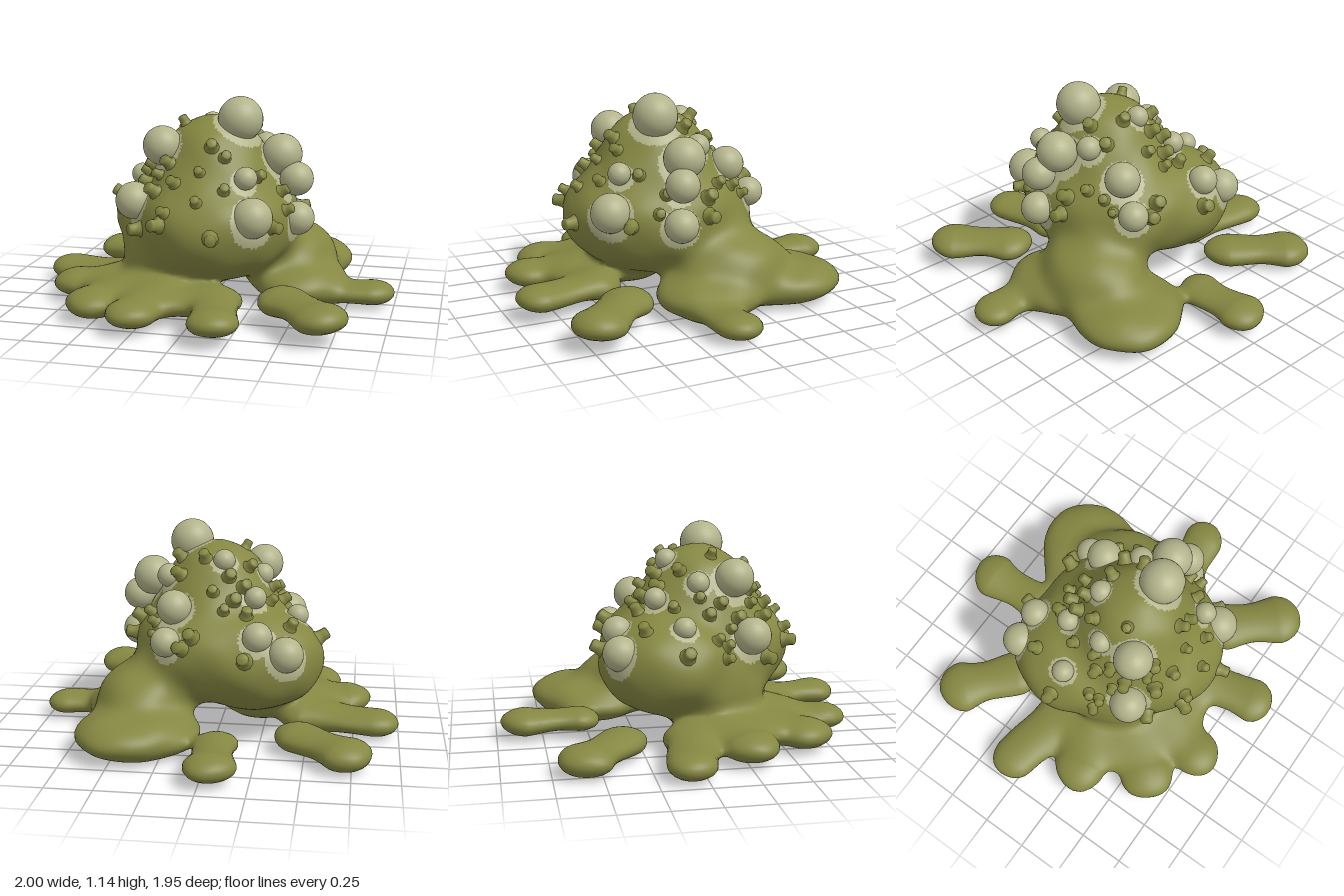
import * as THREE from 'three';

const olive = new THREE.MeshStandardMaterial({ color: 0x858742 });
olive.name = 'olive skin';
const pale = new THREE.MeshStandardMaterial({ color: 0xb3b48b });
pale.name = 'pale blister';

// Blisters: x, y, z, radius
const BLISTERS = [
  [0.18, 1.03, 0.18, 0.12], [0.39, 0.84, 0.11, 0.11], [0.48, 0.72, 0.16, 0.09], [0.49, 0.51, 0.17, 0.09],
  [0.31, 0.57, 0.49, 0.105], [0.26, 0.76, 0.42, 0.06], [-0.22, 0.89, 0.28, 0.105], [-0.36, 0.6, 0.35, 0.1],
  [0.22, 0.74, -0.22, 0.095], [0.25, 0.58, -0.34, 0.08], [0.28, 0.87, -0.02, 0.065], [-0.39, 0.54, -0.36, 0.095],
  [-0.24, 0.63, -0.36, 0.08], [-0.03, 0.97, -0.06, 0.06], [-0.23, 0.87, 0.08, 0.06], [-0.21, 0.79, -0.15, 0.06],
  [-0.43, 0.67, -0.03, 0.06],
];

// Ellipsoids: centre, radii, blend width
const MASSES = [
  [0.04, 0.48, 0.11, 0.44, 0.33, 0.525, 0.08],  // belly
  [-0.21, 0.44, -0.08, 0.37, 0.28, 0.37, 0.08], // sagging back of belly
  [0.03, 0.76, 0.12, 0.29, 0.28, 0.29, 0.16],   // crown
  [-0.2, 0.26, 0.18, 0.25, 0.25, 0.24, 0.14],   // pillar to front foot
  [-0.35, 0.12, 0.27, 0.31, 0.09, 0.32, 0.08],  // front foot pads
  [-0.12, 0.12, 0.48, 0.26, 0.08, 0.21, 0.08],
  [0.38, 0.24, -0.17, 0.26, 0.18, 0.3, 0.12],   // shoulder of rear foot
  [0.48, 0.12, -0.01, 0.26, 0.12, 0.3, 0.1],    // rear foot pads
  [0.44, 0.12, -0.49, 0.27, 0.115, 0.29, 0.12],
  [0.28, 0.1, -0.42, 0.23, 0.09, 0.24, 0.1],
];

// Toes: root x, z, tip x, z, root radius, tip radius, height
const TOES = [
  [-0.05, -0.56, -0.05, -0.84, 0.12, 0.137, 0.1],
  [-0.47, -0.37, -0.71, -0.57, 0.14, 0.15, 0.09],
  [0.48, 0.48, 0.69, 0.7, 0.14, 0.145, 0.14],
  [0.6, 0.05, 0.88, 0.05, 0.15, 0.122, 0.09],
  [-0.5, 0.02, -0.87, -0.08, 0.18, 0.13, 0.085],
  [-0.45, 0.2, -0.7, 0.27, 0.16, 0.145, 0.105],
  [-0.35, 0.4, -0.51, 0.59, 0.18, 0.15, 0.1],
  [-0.2, 0.45, -0.26, 0.76, 0.18, 0.133, 0.11],
  [0.12, 0.53, 0.19, 0.845, 0.15, 0.13, 0.125],
];

const blend = (a, b, k) => {
  const h = Math.max(k - Math.abs(a - b), 0) / k;
  return Math.min(a, b) - h * h * k / 4;
};

// Signed distance to the whole blob, negative inside
function field(x, y, z) {
  let d = 9;
  for (const [cx, cy, cz, rx, ry, rz, k] of MASSES) {
    const px = (x - cx) / rx, py = (y - cy) / ry, pz = (z - cz) / rz;
    const k0 = Math.hypot(px, py, pz), k1 = Math.hypot(px / rx, py / ry, pz / rz) || 1;
    d = blend(d, k0 * (k0 - 1) / k1, k);
  }
  for (const [ax, az, bx, bz, r0, r1, h] of TOES) {
    const ux = bx - ax, uz = bz - az;
    const t = THREE.MathUtils.clamp(((x - ax) * ux + (z - az) * uz) / (ux * ux + uz * uz), 0, 1);
    const q = Math.hypot(x - ax - t * ux, (y - h) * 1.9, z - az - t * uz);
    const r = r0 + (r1 - r0) * t - 0.02 * Math.sin(Math.PI * t);
    d = blend(d, (q - r) * 0.75, 0.055);
  }
  d += 0.007 * Math.sin(x * 17 + 1) * Math.sin(y * 19) * Math.sin(z * 16 + 2);
  return Math.max(d, 0.008 - y);
}

function gradient(x, y, z) {
  const e = 0.008;
  return new THREE.Vector3(
    field(x + e, y, z) - field(x - e, y, z),
    field(x, y + e, z) - field(x, y - e, z),
    field(x, y, z + e) - field(x, y, z - e)).normalize();
}

// Skin mesh: one vertex in each grid cell that the surface crosses
function skinGeometry() {
  const s = 0.0175, min = [-1.05, -0.04, -1.03], n = [121, 66, 118];
  const S = [1, n[0], n[0] * n[1]];
  const val = new Float32Array(n[0] * n[1] * n[2]);
  const at = (i, a) => min[a] + i * s;
  for (let k = 0; k < n[2]; k++) for (let j = 0; j < n[1]; j++) for (let i = 0; i < n[0]; i++)
    val[i + j * S[1] + k * S[2]] = field(at(i, 0), at(j, 1), at(k, 2));

  const cell = new Int32Array(val.length).fill(-1), pos = [], nor = [];
  for (let k = 0; k < n[2] - 1; k++) for (let j = 0; j < n[1] - 1; j++) for (let i = 0; i < n[0] - 1; i++) {
    const base = i + j * S[1] + k * S[2], sum = [0, 0, 0];
    let count = 0;
    for (let c = 0; c < 8; c++) for (let a = 0; a < 3; a++) {
      if (c >> a & 1) continue;
      const o = [c & 1, c >> 1 & 1, c >> 2 & 1];
      const p = base + o[0] + o[1] * S[1] + o[2] * S[2];
      const v0 = val[p], v1 = val[p + S[a]];
      if (v0 < 0 === v1 < 0) continue;
      o[a] += v0 / (v0 - v1);
      for (let m = 0; m < 3; m++) sum[m] += o[m];
      count++;
    }
    if (!count) continue;
    const p = [at(i + sum[0] / count, 0), at(j + sum[1] / count, 1), at(k + sum[2] / count, 2)];
    cell[base] = pos.length / 3;
    pos.push(...p);
    nor.push(...gradient(...p).toArray());
  }

  // Faces, with a pale patch around and below each blister
  const faces = [[], []];
  const addFace = (a, b, c) => {
    const m = [0, 1, 2].map(i => (pos[a * 3 + i] + pos[b * 3 + i] + pos[c * 3 + i]) / 3);
    const near = BLISTERS.some(([x, y, z, r]) =>
      Math.hypot(m[0] - x, m[1] - y + r * 0.25, m[2] - z) < r * 1.15 + 0.01);
    faces[near ? 1 : 0].push(a, b, c);
  };
  for (let k = 1; k < n[2] - 1; k++) for (let j = 1; j < n[1] - 1; j++) for (let i = 1; i < n[0] - 1; i++) {
    const p = i + j * S[1] + k * S[2];
    for (let a = 0; a < 3; a++) {
      const inside = val[p] < 0;
      if (inside === val[p + S[a]] < 0) continue;
      const B = S[(a + 1) % 3], C = S[(a + 2) % 3];
      const q = [p, p - B, p - B - C, p - C].map(c => cell[c]);
      if (!inside) q.reverse();
      addFace(q[0], q[1], q[2]);
      addFace(q[0], q[2], q[3]);
    }
  }
  const g = new THREE.BufferGeometry();
  g.setAttribute('position', new THREE.Float32BufferAttribute(pos, 3));
  g.setAttribute('normal', new THREE.Float32BufferAttribute(nor, 3));
  g.setIndex([...faces[0], ...faces[1]]);
  g.addGroup(0, faces[0].length, 0);
  g.addGroup(faces[0].length, faces[1].length, 1);
  return g;
}

export function createModel() {
  const model = new THREE.Group();
  model.name = 'blisteredBlob';

  const skin = new THREE.Mesh(skinGeometry(), [olive, pale]);
  skin.name = 'bodyAndFeet';
  model.add(skin);

  // Blisters
  const blisters = new THREE.Group();
  blisters.name = 'blisters';
  const ball = new THREE.SphereGeometry(1, 28, 18);
  for (const [x, y, z, r] of BLISTERS) {
    const m = new THREE.Mesh(ball, pale);
    m.name = 'blister';
    m.position.set(x, y, z);
    m.scale.setScalar(r);
    blisters.add(m);
  }
  model.add(blisters);

  // Stubby warts spread over the upper body
  const warts = new THREE.Group();
  warts.name = 'warts';
  const profile = [[0.05, -0.015], [0.034, 0.008], [0.03, 0.03], [0.03, 0.05], [0.023, 0.058], [0, 0.06]];
  const wartGeometry = new THREE.LatheGeometry(profile.map(p => new THREE.Vector2(...p)), 10);
  let seed = 7;
  const rand = () => (seed = seed * 16807 % 2147483647) / 2147483647;
  const up = new THREE.Vector3(0, 1, 0), N = 70;
  for (let i = 0; i < N; i++) {
    const h = 0.98 - 1.1 * (i + 0.5) / N, a = i * 2.39996 + rand() * 0.5, w = Math.sqrt(1 - h * h);
    const dir = new THREE.Vector3(w * Math.cos(a), h, w * Math.sin(a));
    const p = new THREE.Vector3(0, 0.52, 0.09).addScaledVector(dir, 0.8);
    for (let t = 0; t < 30; t++) p.addScaledVector(dir, -field(p.x, p.y, p.z) * 0.7);
    const size = 0.75 + rand() * 0.4;
    const blocked = BLISTERS.some(([x, y, z, r]) => Math.hypot(p.x - x, p.y - y, p.z - z) < r + 0.02);
    if (blocked || p.y < 0.4) continue;
    const m = new THREE.Mesh(wartGeometry, olive);
    m.name = 'wart';
    m.position.copy(p);
    m.quaternion.setFromUnitVectors(up, gradient(p.x, p.y, p.z));
    m.scale.setScalar(size);
    warts.add(m);
  }
  model.add(warts);
  return model;
}
